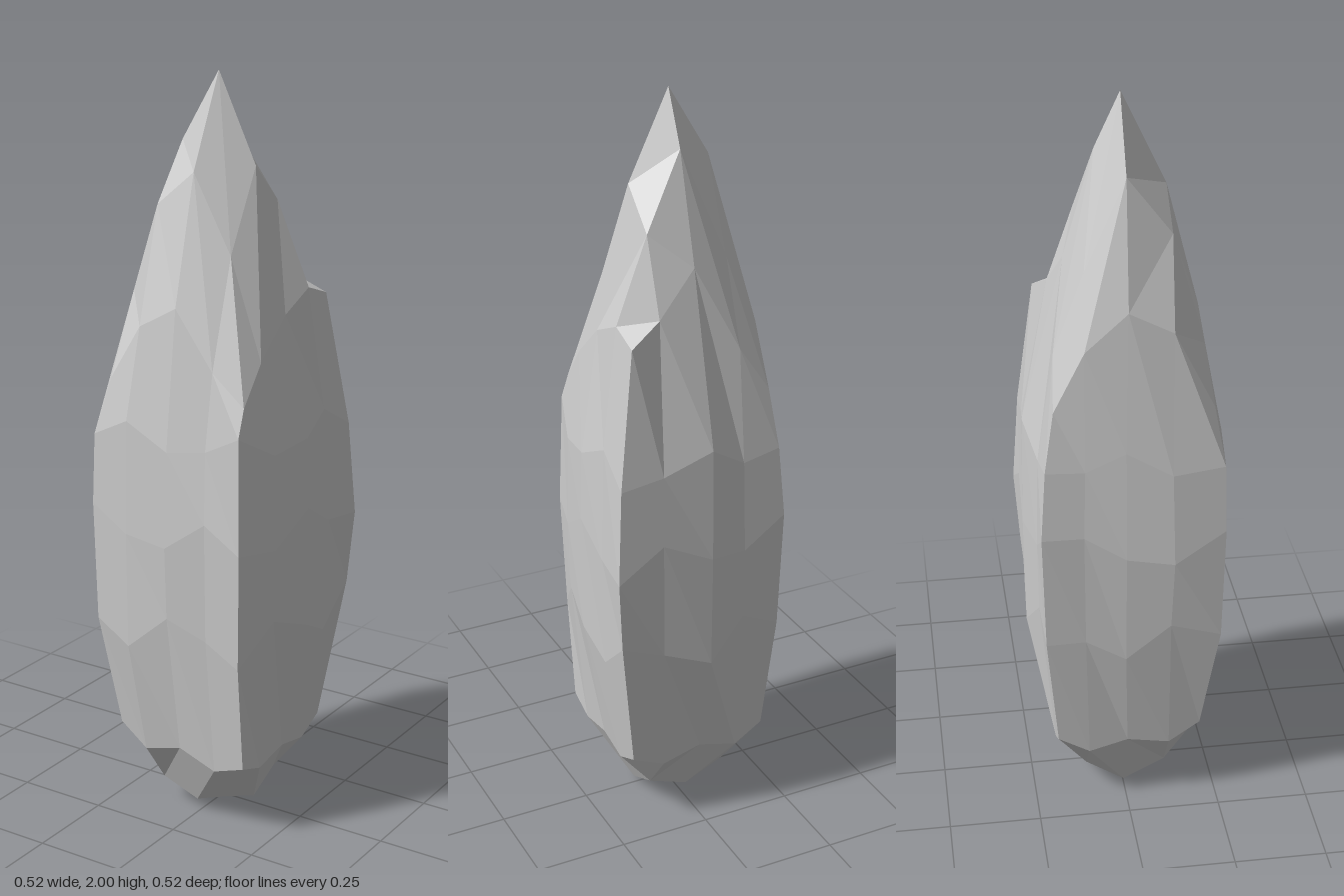
import * as THREE from 'three';

// Cap grids are 5 x 5: columns run along x, rows run from back to front
const COLS = [-0.2, -0.12, -0.01, 0.1, 0.19];
const TOP_Z = [
  [-0.19, -0.18, -0.14, -0.17, -0.2],
  [-0.11, -0.1, -0.06, -0.1, -0.11],
  [0, 0.005, 0.005, 0.005, 0.005],
  [0.115, 0.12, 0.12, 0.12, 0.12],
  [0.22, 0.205, 0.205, 0.205, 0.2],
];
const TOP_Y = [
  [1.24, 1.36, 1.58, 1.47, 1.42],
  [1.4, 1.58, 1.86, 1.67, 1.45],
  [1.5, 1.82, 2.0, 1.77, 1.4],
  [1.44, 1.67, 1.76, 1.56, 1.3],
  [1.23, 1.37, 1.43, 1.28, 1.2],
];
const BOTTOM_Y = [
  [0.23, 0.18, 0.21, 0.18, 0.22],
  [0.18, 0.08, 0.03, 0.07, 0.18],
  [0.21, 0.01, 0.0, 0.02, 0.2],
  [0.19, 0.07, 0.03, 0.07, 0.18],
  [0.25, 0.19, 0.22, 0.18, 0.21],
];
const BOTTOM_Z = [-0.19, -0.105, 0, 0.115, 0.2];

// Widest outline of the trunk-like body: x, z around the sixteen columns
const OUTLINE = [
  [-0.235, -0.23], [-0.12, -0.235], [-0.01, -0.263], [0.13, -0.255],
  [0.258, -0.258], [0.25, -0.13], [0.26, -0.015], [0.24, 0.12],
  [0.205, 0.245], [0.1, 0.245], [-0.015, 0.26], [-0.14, 0.262],
  [-0.25, 0.255], [-0.262, 0.115], [-0.25, -0.01], [-0.237, -0.12],
];

// Middle rings, bottom to top: height, scale and unevenness
const RINGS = [
  { y: 0.56, scale: 0.97, wave: 0.06 },
  { y: 0.84, scale: 1.0, wave: 0.05 },
  { y: 1.09, scale: 0.96, wave: 0.04 },
];

// Grid cell of each perimeter column, starting at the back left corner
function rimCell(k) {
  const side = Math.floor(k / 4), s = k % 4;
  return [[s, 0], [4, s], [4 - s, 4], [0, 4 - s]][side];
}

function createFoliageGeometry() {
  const positions = [], indices = [];
  const quad = (a, b, c, d) => indices.push(a, b, c, a, c, d);

  // Peaked top and rounded underside
  for (const top of [true, false]) {
    const base = positions.length / 3;
    for (let j = 0; j < 5; j++) {
      for (let i = 0; i < 5; i++) {
        const x = COLS[i];
        if (top) positions.push(x, TOP_Y[j][i], TOP_Z[j][i]);
        else positions.push(x, BOTTOM_Y[j][i], BOTTOM_Z[j]);
      }
    }
    for (let j = 0; j < 4; j++) {
      for (let i = 0; i < 4; i++) {
        const a = base + j * 5 + i;
        if (top) quad(a, a + 5, a + 6, a + 1);
        else quad(a, a + 1, a + 6, a + 5);
      }
    }
  }

  // Uneven rings between the two caps
  RINGS.forEach(({ y, scale, wave }, r) => {
    OUTLINE.forEach(([x, z], k) => {
      const bump = Math.sin(k * 2.1 + r * 1.7);
      const s = scale + 0.012 * Math.sin(k * 1.3 + r * 2.6) - 0.012;
      positions.push(x * s, y + wave * bump, z * s);
    });
  });

  // Side walls link the lower rim, the rings and the upper rim
  const rowIndex = (row, k) => {
    k %= 16;
    if (row > 0 && row <= RINGS.length) return 50 + (row - 1) * 16 + k;
    const [i, j] = rimCell(k);
    return (row === 0 ? 25 : 0) + j * 5 + i;
  };
  for (let row = 0; row <= RINGS.length; row++) {
    for (let k = 0; k < 16; k++) {
      quad(rowIndex(row, k), rowIndex(row + 1, k), rowIndex(row + 1, k + 1), rowIndex(row, k + 1));
    }
  }

  const geometry = new THREE.BufferGeometry();
  geometry.setAttribute('position', new THREE.Float32BufferAttribute(positions, 3));
  geometry.setIndex(indices);
  const faceted = geometry.toNonIndexed();
  faceted.computeVertexNormals();
  return faceted;
}

export function createModel() {
  const group = new THREE.Group();
  group.name = 'foliage';
  const material = new THREE.MeshStandardMaterial({ color: 0xcccccc, flatShading: true });
  const crown = new THREE.Mesh(createFoliageGeometry(), material);
  crown.name = 'crown';
  group.add(crown);
  return group;
}
